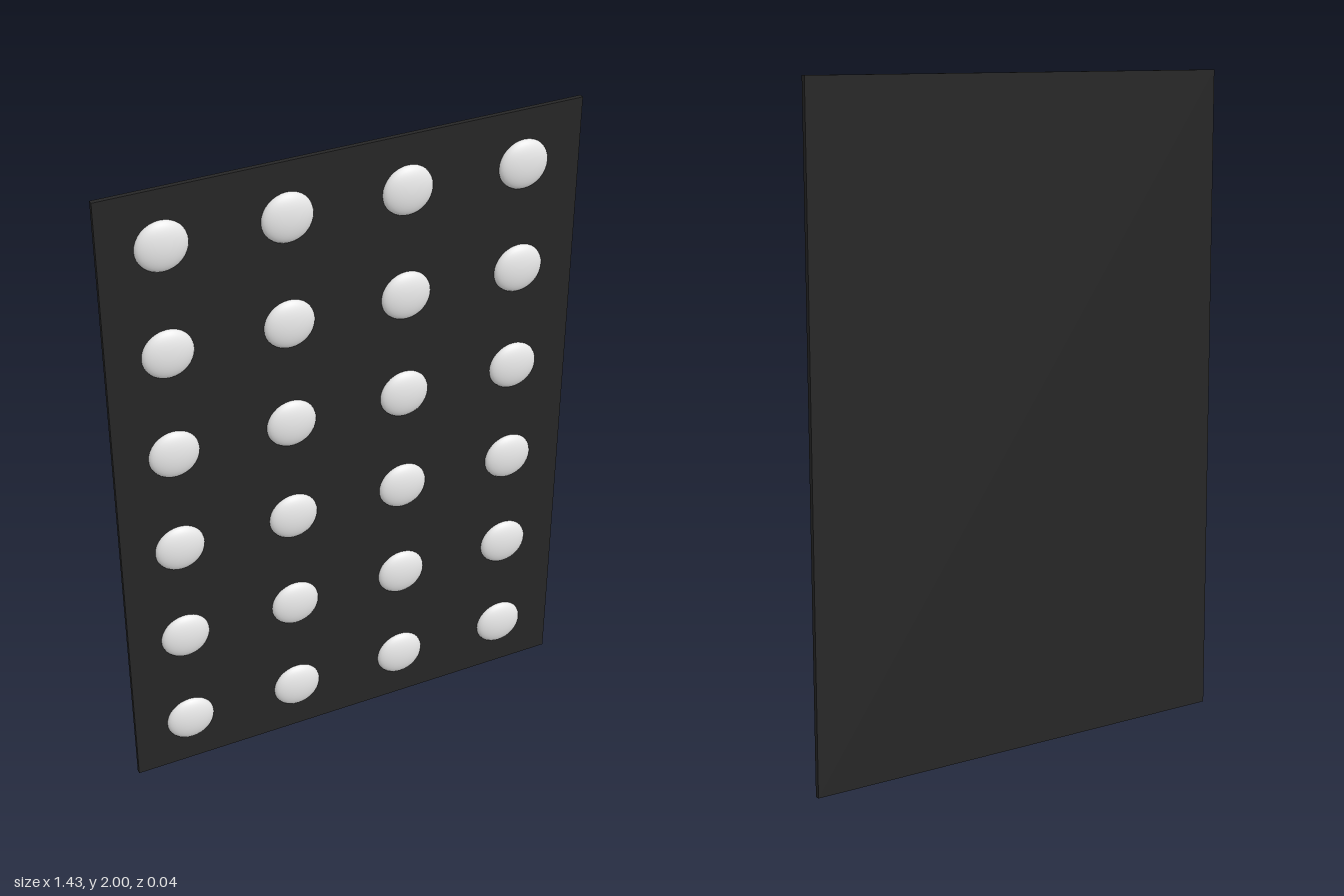
import * as THREE from 'three';

const COLUMNS = 4, ROWS = 6;
const WIDTH = 1.428, HEIGHT = 2;
const BACK = -0.022, FACE = -0.008, PEAK = 0.022;
const RADIUS = 0.076;

export function createModel() {
  const model = new THREE.Group();
  model.name = 'studdedPanel';

  const black = new THREE.MeshStandardMaterial({ color: 0x262626 });
  black.name = 'black';
  const white = new THREE.MeshStandardMaterial({ color: 0xececec });
  white.name = 'white';

  // Thin backing panel
  const panel = new THREE.Mesh(new THREE.BoxGeometry(WIDTH, HEIGHT, FACE - BACK), black);
  panel.name = 'panel';
  panel.position.set(0, HEIGHT / 2, (FACE + BACK) / 2);
  model.add(panel);

  // Shallow dome: upper half of a sphere, turned to face +z and flattened
  const dome = new THREE.SphereGeometry(RADIUS, 32, 10, 0, Math.PI * 2, 0, Math.PI / 2);
  dome.rotateX(Math.PI / 2);
  dome.scale(1, 1, (PEAK - FACE) / RADIUS);

  // Regular grid of domes
  const domes = new THREE.Group();
  domes.name = 'domes';
  for (let row = 0; row < ROWS; row++) {
    for (let col = 0; col < COLUMNS; col++) {
      const mesh = new THREE.Mesh(dome, white);
      mesh.name = `domeRow${row + 1}Column${col + 1}`;
      mesh.position.set(
        ((col + 0.5) / COLUMNS - 0.5) * WIDTH,
        ((row + 0.5) / ROWS) * HEIGHT,
        FACE
      );
      domes.add(mesh);
    }
  }
  model.add(domes);
  return model;
}
